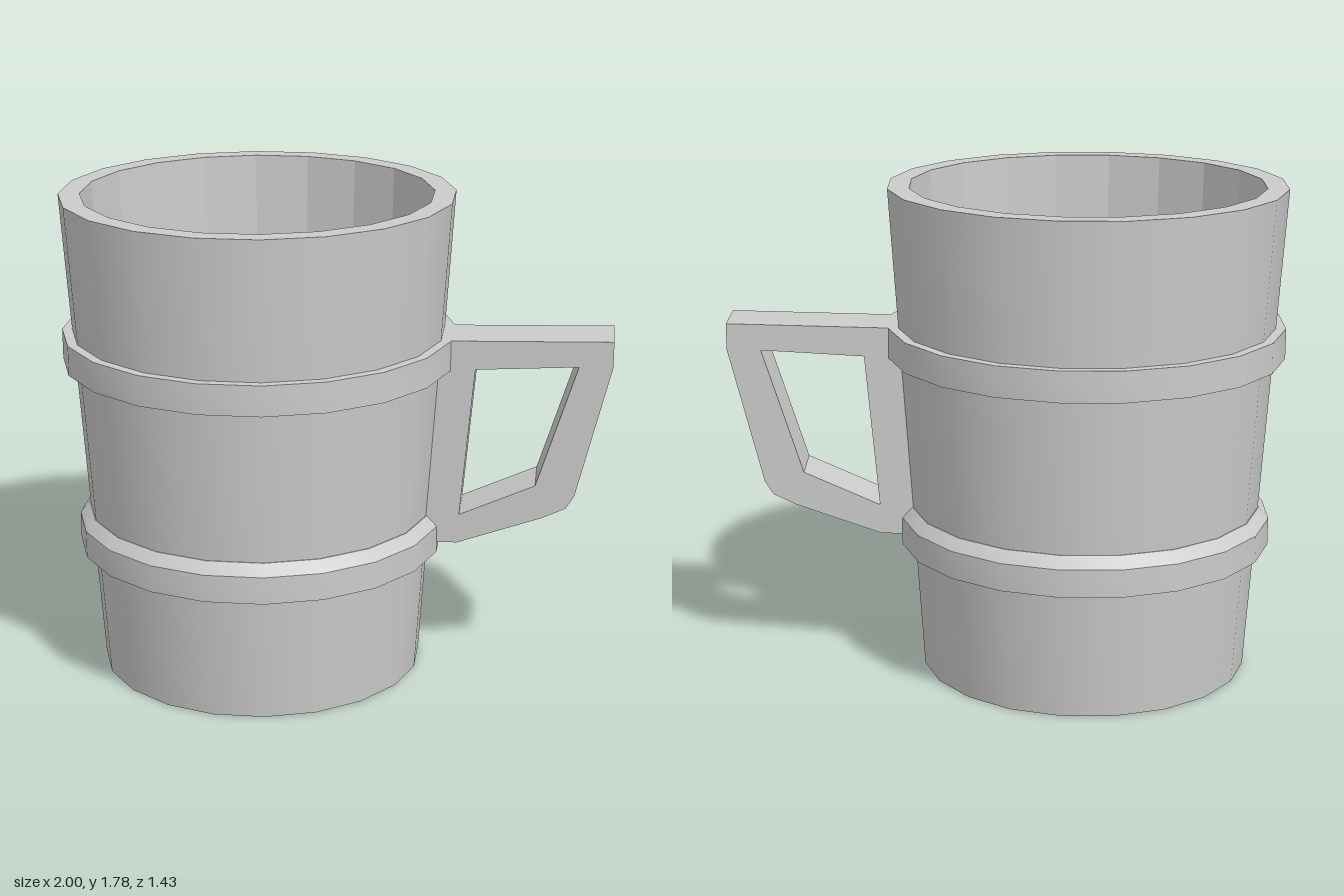
import * as THREE from 'three';
import { toCreasedNormals } from 'three/addons/utils/BufferGeometryUtils.js';

const SIDES = 20;
const smooth = new THREE.MeshStandardMaterial({ color: 0xcccccc });
const faceted = new THREE.MeshStandardMaterial({ color: 0xcccccc, flatShading: true });
const points = (list) => list.map(([a, b]) => new THREE.Vector2(a, b));

// Turned part from a [radius, height] profile, with sharp corners kept
function turned(name, profile, material = smooth) {
  const geometry = toCreasedNormals(new THREE.LatheGeometry(points(profile), SIDES), 0.5);
  const mesh = new THREE.Mesh(geometry, material);
  mesh.name = name;
  return mesh;
}

export function createModel() {
  const mug = new THREE.Group();
  mug.name = 'mug';
  mug.position.x = -0.285;

  // Tapered body: base and outer wall, then rim, inner wall and floor
  mug.add(turned('outerWall', [[0, 0], [0.595, 0], [0.712, 1.78]]));
  mug.add(turned('innerWall', [[0.712, 1.78], [0.635, 1.78], [0.575, 0.08], [0, 0.08]], faceted));

  // Raised hoops; the lower one has a bevelled top
  mug.add(turned('upperBand', [[0.65, 1.17], [0.715, 1.17], [0.715, 1.28], [0.65, 1.28]]));
  mug.add(turned('lowerBand', [[0.61, 0.47], [0.674, 0.47], [0.674, 0.57], [0.638, 0.61], [0.61, 0.61]]));

  // Handle: angular loop set square on one facet of the body
  const outline = new THREE.Shape(points([
    [0.605, 0.51], [0.74, 0.51], [1.05, 0.62], [1.133, 0.66], [1.163, 0.71],
    [1.284, 1.2], [1.284, 1.295], [0.71, 1.28], [0.655, 1.28],
  ]));
  outline.holes.push(new THREE.Path(points([
    [0.746, 0.62], [0.795, 1.176], [1.163, 1.198], [1.02, 0.743],
  ])));
  const width = 0.212;
  const geometry = new THREE.ExtrudeGeometry(outline, { depth: width, bevelEnabled: false });
  geometry.translate(0, 0, -width / 2);
  const handle = new THREE.Mesh(geometry, faceted);
  handle.name = 'handle';
  handle.rotation.y = Math.PI / SIDES;
  mug.add(handle);

  const model = new THREE.Group();
  model.add(mug);
  return model;
}
